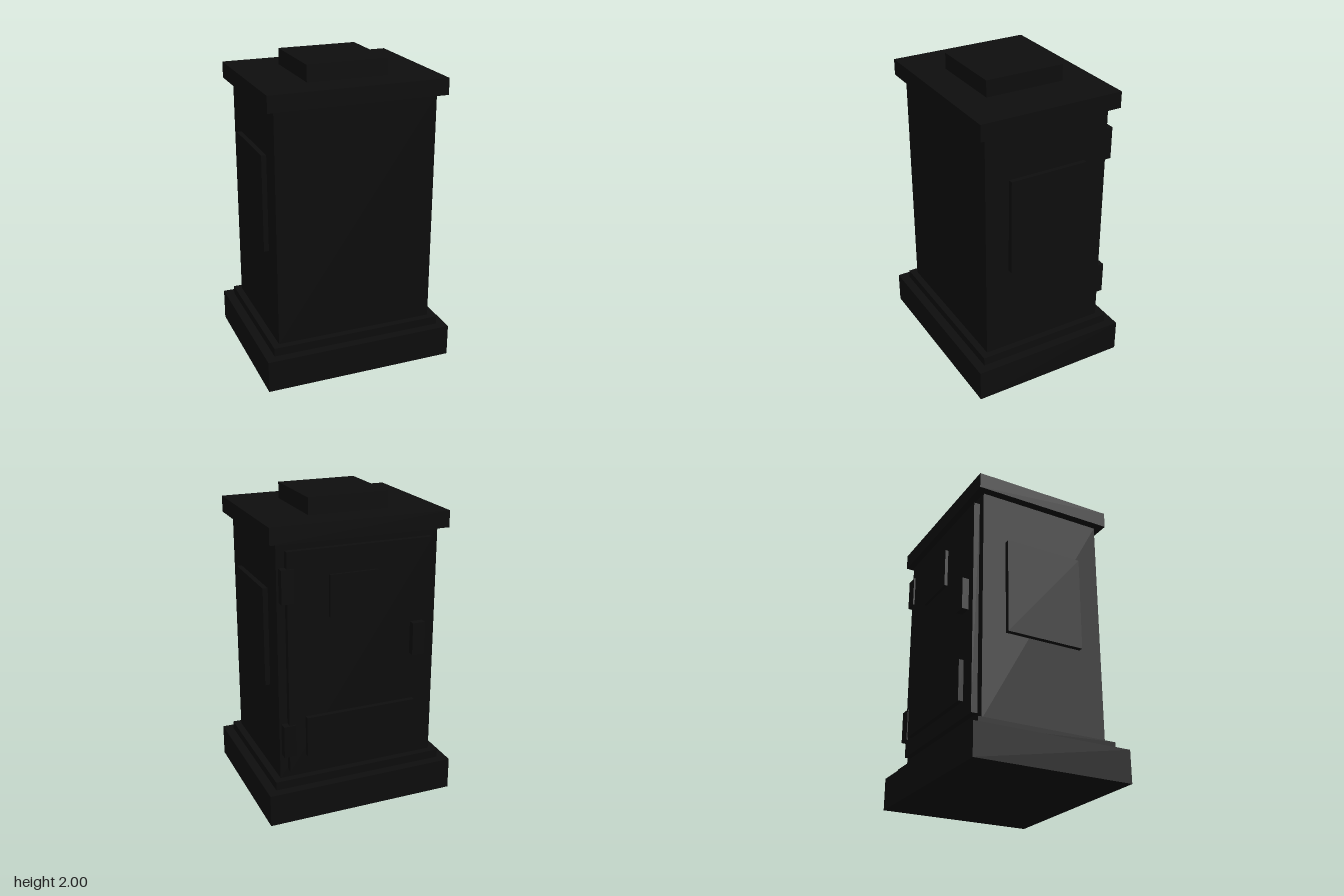
import * as THREE from 'three';

export function createModel() {
  const group = new THREE.Group();
  const black = new THREE.MeshStandardMaterial({ color: 0x0d0d0d });
  black.name = 'black';

  // Box given by its min and max on each axis
  function box(name, [x0, x1], [y0, y1], [z0, z1]) {
    const mesh = new THREE.Mesh(new THREE.BoxGeometry(x1 - x0, y1 - y0, z1 - z0), black);
    mesh.name = name;
    mesh.position.set((x0 + x1) / 2, (y0 + y1) / 2, (z0 + z1) / 2);
    group.add(mesh);
  }
  // Box centred on x and z
  const tier = (name, hx, hz, y0, y1) => box(name, [-hx, hx], [y0, y1], [-hz, hz]);

  // Stacked tiers
  tier('base', 0.63, 0.525, 0, 0.21);
  tier('baseStep', 0.57, 0.465, 0.21, 0.265);
  tier('body', 0.525, 0.42, 0.265, 1.79);
  tier('roof', 0.578, 0.473, 1.79, 1.895);
  tier('roofCap', 0.262, 0.262, 1.895, 2);

  // Raised panels on both sides
  box('leftSidePanel', [0.525, 0.557], [0.845, 1.475], [-0.262, 0.262]);
  box('rightSidePanel', [-0.557, -0.525], [0.845, 1.475], [-0.262, 0.262]);

  // Back door with its fittings
  box('door', [-0.473, 0.473], [0.32, 1.74], [-0.46, -0.42]);
  box('doorSign', [-0.105, 0.21], [1.317, 1.58], [-0.481, -0.46]);
  box('doorHandle', [-0.418, -0.336], [1.0, 1.21], [-0.504, -0.46]);
  box('doorLowerPanel', [-0.367, 0.367], [0.422, 0.685], [-0.492, -0.46]);
  for (const y of [0.535, 1.533]) {
    box('hinge', [0.432, 0.512], [y - 0.105, y + 0.105], [-0.472, -0.42]);
  }

  return group;
}
